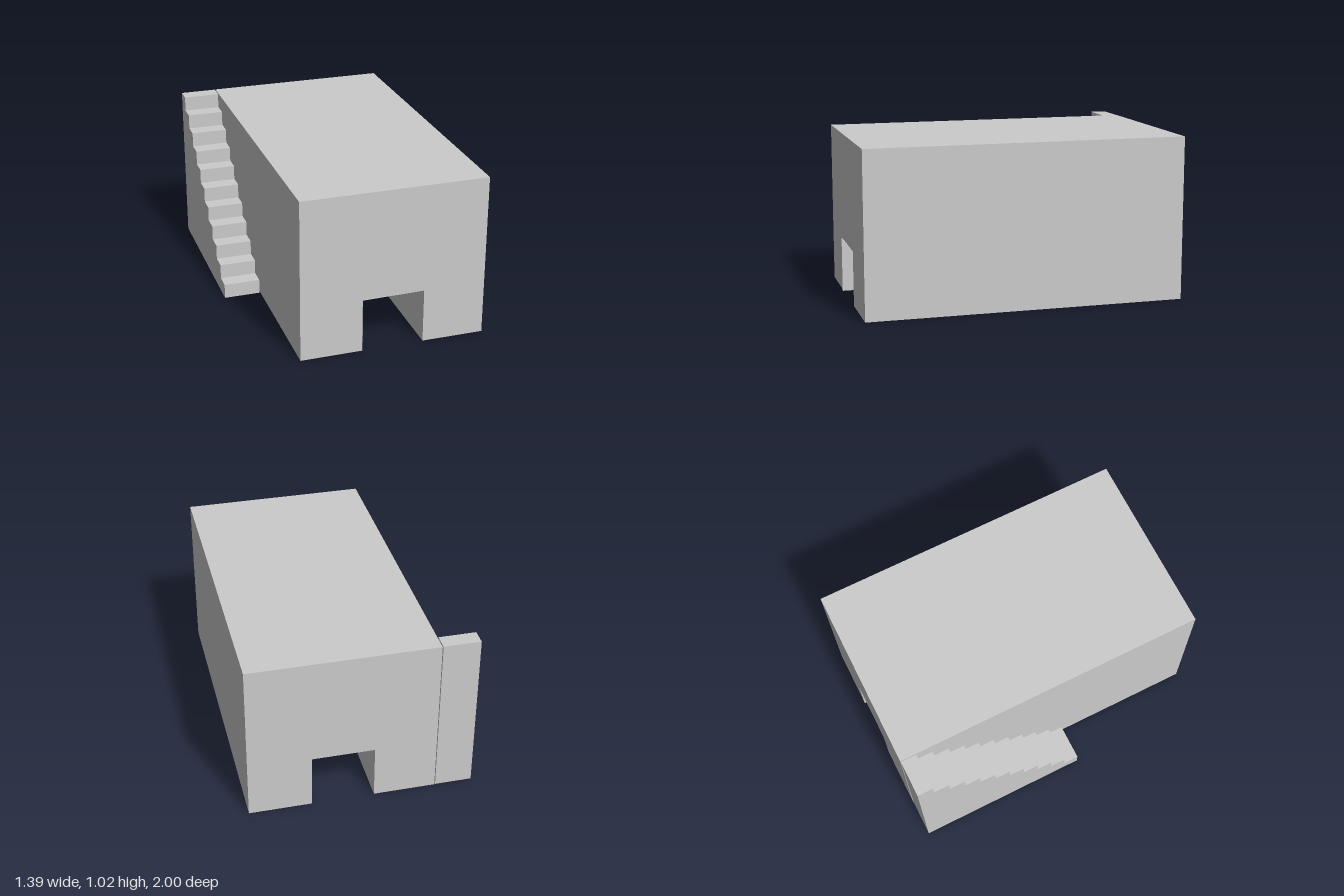
import * as THREE from 'three';

const HEIGHT = 1.023;
const material = new THREE.MeshStandardMaterial({ color: 0xcccccc, side: THREE.DoubleSide, flatShading: true });

function addMesh(group, name, geometry) {
  const mesh = new THREE.Mesh(geometry, material);
  mesh.name = name;
  group.add(mesh);
}

// Hollow prism: two end walls and every outline edge except those on the floor.
// The outline runs counter-clockwise; zEnd(point) may vary along it.
function openPrism(name, outline, z0, z1, zEnd = () => z1) {
  const group = new THREE.Group();
  group.name = name;
  const points = outline.map(([x, y]) => new THREE.Vector2(x, y));
  const mirrored = outline.map(([x, y]) => new THREE.Vector2(-x, y));

  addMesh(group, name + 'EndWallA', new THREE.ShapeGeometry(new THREE.Shape(points)).translate(0, 0, z1));
  addMesh(group, name + 'EndWallB',
    new THREE.ShapeGeometry(new THREE.Shape(mirrored)).rotateY(Math.PI).translate(0, 0, z0));

  const corners = [];
  points.forEach((a, i) => {
    const b = points[(i + 1) % points.length];
    if (a.y === 0 && b.y === 0) return;
    const quad = [[a.x, a.y, z0], [b.x, b.y, z0], [b.x, b.y, zEnd(b)], [a.x, a.y, zEnd(a)]];
    for (const k of [0, 1, 2, 0, 2, 3]) corners.push(...quad[k]);
  });
  const sides = new THREE.BufferGeometry();
  sides.setAttribute('position', new THREE.Float32BufferAttribute(corners, 3));
  sides.computeVertexNormals();
  addMesh(group, name + 'Sides', sides);
  return group;
}

export function createModel() {
  const model = new THREE.Group();
  model.name = 'buildingWithStairs';

  // Main block with a passage running through it; one passage wall sticks out a little at the front
  const left = 0.695, right = -0.462, passL = 0.308, passR = -0.078, passH = 0.342;
  const front = 0.993;
  model.add(openPrism('building', [
    [right, 0], [passR, 0], [passR, passH], [passL, passH], [passL, 0],
    [left, 0], [left, HEIGHT], [right, HEIGHT],
  ], -1, front, (p) => (p.x === passR ? 1 : front)));

  // Outer staircase, climbing towards the back
  const steps = 11, rise = HEIGHT / steps, foot = 0.1, top = -0.998;
  const run = (foot - top) / steps;
  const profile = [[top, 0], [foot, 0]];
  for (let i = 0; i < steps; i++) {
    profile.push([foot - i * run, (i + 1) * rise]);
    profile.push([foot - (i + 1) * run, (i + 1) * rise]);
  }
  const stairs = openPrism('stairs', profile, 0.468, 0.697);
  stairs.rotation.y = -Math.PI / 2;
  model.add(stairs);

  return model;
}
